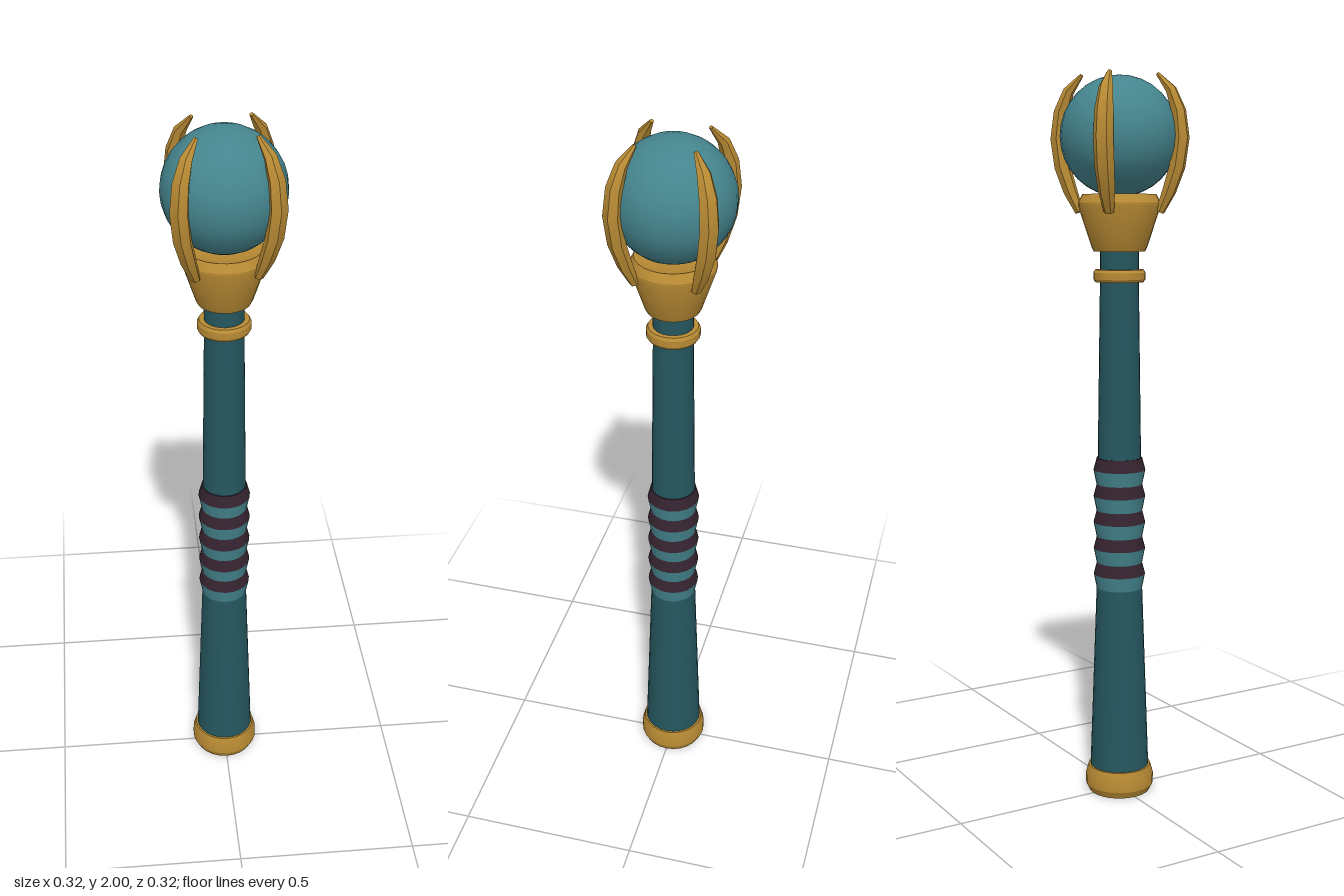
import * as THREE from 'three';
import { toCreasedNormals } from 'three/addons/utils/BufferGeometryUtils.js';

const material = (name, color) => {
  const m = new THREE.MeshStandardMaterial({ color });
  m.name = name;
  return m;
};

export function createModel() {
  const gold = material('gold', 0xb98b34);
  const teal = material('teal', 0x45858e);
  const deepTeal = material('deepTeal', 0x25575f);
  const dark = material('darkPlum', 0x35232f);

  const model = new THREE.Group();
  model.name = 'sceptre';

  const add = (name, geometry, mat, parent = model) => {
    const mesh = new THREE.Mesh(geometry, mat);
    mesh.name = name;
    parent.add(mesh);
    return mesh;
  };

  // Turned part from [radius, height] pairs, listed bottom to top
  const turned = (name, profile, mat, parent) => {
    const points = profile.map(([r, y]) => new THREE.Vector2(r, y));
    return add(name, toCreasedNormals(new THREE.LatheGeometry(points, 24), 0.4), mat, parent);
  };

  // Pommel, shaft and collar
  turned('pommel', [[0, 0], [0.086, 0], [0.096, 0.02], [0.096, 0.046], [0.088, 0.075], [0, 0.075]], gold);
  turned('shaft', [[0.083, 0.06], [0.064, 0.595], [0.06, 0.96], [0.053, 1.45], [0.053, 1.55]], deepTeal);
  turned('collar', [[0.05, 1.447], [0.066, 1.447], [0.071, 1.455], [0.071, 1.473], [0.066, 1.481], [0.05, 1.481]], gold);

  // Ribbed grip: dark bands flare downwards, teal bands narrow again
  const grip = new THREE.Group();
  grip.name = 'grip';
  model.add(grip);
  const step = 0.074;
  for (let i = 0; i < 5; i++) {
    const top = 0.963 - i * step;
    turned('darkBand', [[0.072, top - 0.034], [0.063, top], [0.055, top]], dark, grip);
    turned('tealBand', [[0.064, top - step], [0.072, top - 0.034]], teal, grip);
  }

  // Flared cup holding the orb
  turned('cup', [[0, 1.53], [0.07, 1.53], [0.075, 1.54], [0.112, 1.652], [0.112, 1.66], [0.1, 1.683], [0.08, 1.675], [0, 1.665]], gold);

  const orb = add('orb', new THREE.SphereGeometry(0.16, 24, 16), teal);
  orb.position.y = 1.836;

  // Four curved claws
  const claw = clawGeometry();
  for (let i = 0; i < 4; i++) {
    add('claw', claw, gold).rotation.y = Math.PI / 4 + i * Math.PI / 2;
  }
  return model;
}

// Six-sided section swept along a curve; rows are [radial, height, half width, half depth]
function clawGeometry() {
  const rows = [
    [0.112, 1.635, 0.014, 0.012],
    [0.137, 1.69, 0.023, 0.019],
    [0.159, 1.755, 0.027, 0.022],
    [0.169, 1.83, 0.027, 0.023],
    [0.162, 1.9, 0.025, 0.02],
    [0.141, 1.955, 0.019, 0.015],
    [0.104, 1.997, 0.006, 0.005],
  ];
  const sides = 6, positions = [], index = [];
  rows.forEach(([x, y, w, d], i) => {
    const a = rows[Math.max(i - 1, 0)], b = rows[Math.min(i + 1, rows.length - 1)];
    const t = new THREE.Vector2(b[0] - a[0], b[1] - a[1]).normalize();
    for (let j = 0; j < sides; j++) {
      const angle = (j + 0.5) / sides * Math.PI * 2;
      const out = Math.cos(angle) * d;
      positions.push(x + t.y * out, y - t.x * out, Math.sin(angle) * w);
    }
  });
  for (let i = 0; i < rows.length - 1; i++) {
    for (let j = 0; j < sides; j++) {
      const a = i * sides + j, b = i * sides + (j + 1) % sides;
      index.push(a, a + sides, b, b, a + sides, b + sides);
    }
  }
  // End caps
  const last = (rows.length - 1) * sides;
  for (let j = 1; j < sides - 1; j++) {
    index.push(0, j, j + 1, last, last + j + 1, last + j);
  }
  const geometry = new THREE.BufferGeometry();
  geometry.setAttribute('position', new THREE.Float32BufferAttribute(positions, 3));
  geometry.setIndex(index);
  return toCreasedNormals(geometry, 0.5);
}
